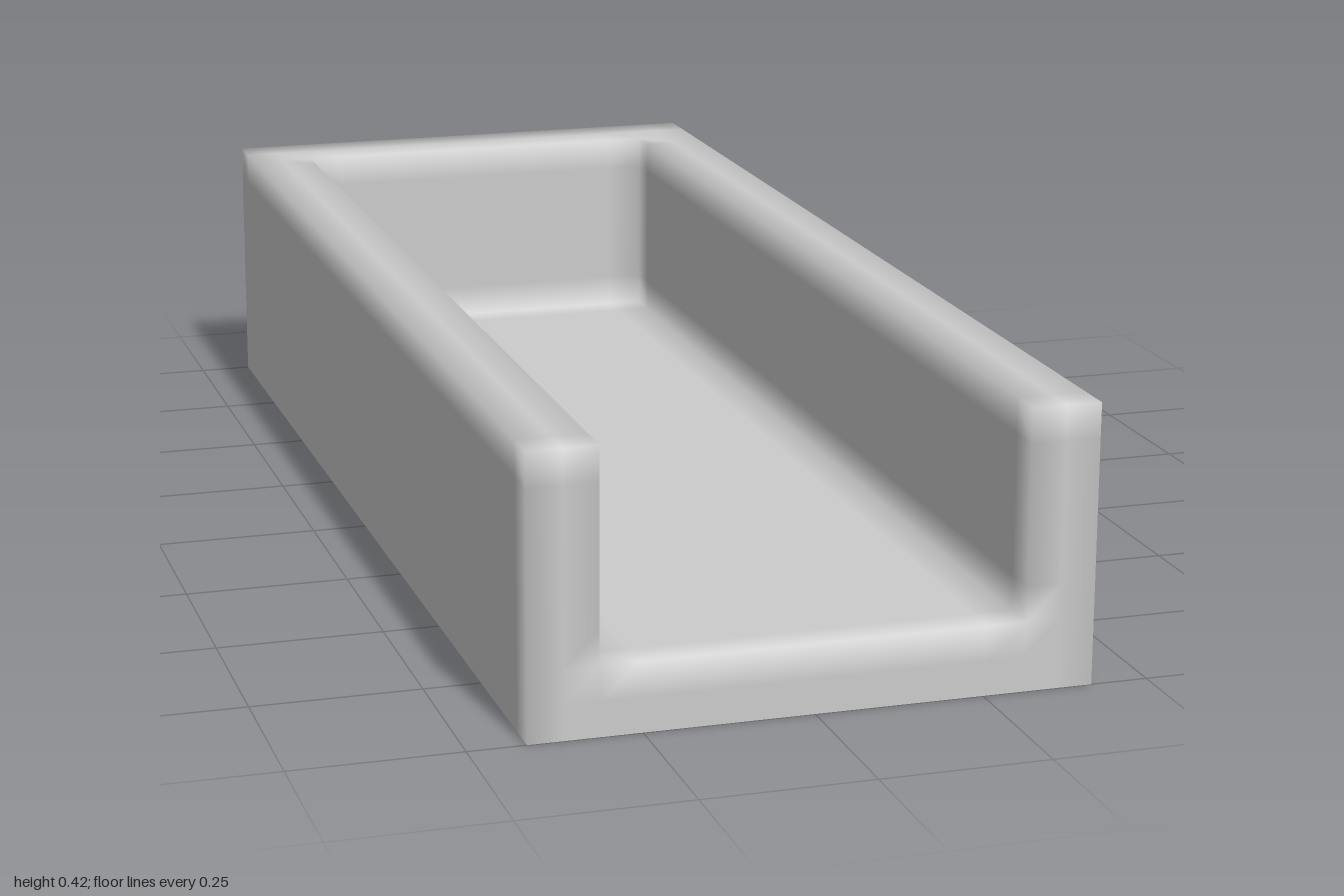
import * as THREE from 'three';
import { mergeVertices } from 'three/addons/utils/BufferGeometryUtils.js';

// Block boundaries along x, y and z; the upper middle front block is the hollow.
const BREAKS = [
  [-0.415, -0.312, 0.312, 0.415],
  [0, 0.104, 0.417],
  [-1, -0.88, 1],
];
const CELL = 0.055;

const isSolid = ([i, j, k]) =>
  i >= 0 && i < 3 && j >= 0 && j < 2 && k >= 0 && k < 2 &&
  !(i === 1 && j === 1 && k === 1);

// Subdivided rectangle on one side of a block, facing along sign * axis.
function addPanel(positions, block, axis, sign) {
  const u = (axis + 1) % 3, v = (axis + 2) % 3;
  const span = (a) => [BREAKS[a][block[a]], BREAKS[a][block[a] + 1]];
  const [u0, u1] = span(u), [v0, v1] = span(v);
  const w = span(axis)[sign > 0 ? 1 : 0];
  const nu = Math.max(1, Math.round((u1 - u0) / CELL));
  const nv = Math.max(1, Math.round((v1 - v0) / CELL));
  const point = (a, b) => {
    const p = [0, 0, 0];
    p[axis] = w;
    p[u] = u0 + ((u1 - u0) * a) / nu;
    p[v] = v0 + ((v1 - v0) * b) / nv;
    return p;
  };
  for (let a = 0; a < nu; a++) {
    for (let b = 0; b < nv; b++) {
      const q = [point(a, b), point(a + 1, b), point(a + 1, b + 1), point(a, b + 1)];
      if (sign < 0) q.reverse();
      for (const c of [0, 1, 2, 0, 2, 3]) positions.push(...q[c]);
    }
  }
}

export function createModel() {
  const positions = [];
  for (let i = 0; i < 3; i++) for (let j = 0; j < 2; j++) for (let k = 0; k < 2; k++) {
    const block = [i, j, k];
    if (!isSolid(block)) continue;
    for (let axis = 0; axis < 3; axis++) for (const sign of [-1, 1]) {
      const next = [...block];
      next[axis] += sign;
      // The underside stays open, so the walls and floor are a hollow shell.
      if (isSolid(next) || next[1] < 0) continue;
      addPanel(positions, block, axis, sign);
    }
  }

  // Shared vertices give the softly shaded edges.
  let geometry = new THREE.BufferGeometry();
  geometry.setAttribute('position', new THREE.Float32BufferAttribute(positions, 3));
  geometry = mergeVertices(geometry, 1e-4);
  geometry.computeVertexNormals();

  const shell = new THREE.Mesh(
    geometry,
    new THREE.MeshStandardMaterial({ color: 0xcccccc, side: THREE.DoubleSide })
  );
  shell.name = 'openTroughShell';

  const group = new THREE.Group();
  group.name = 'trough';
  group.add(shell);
  return group;
}
